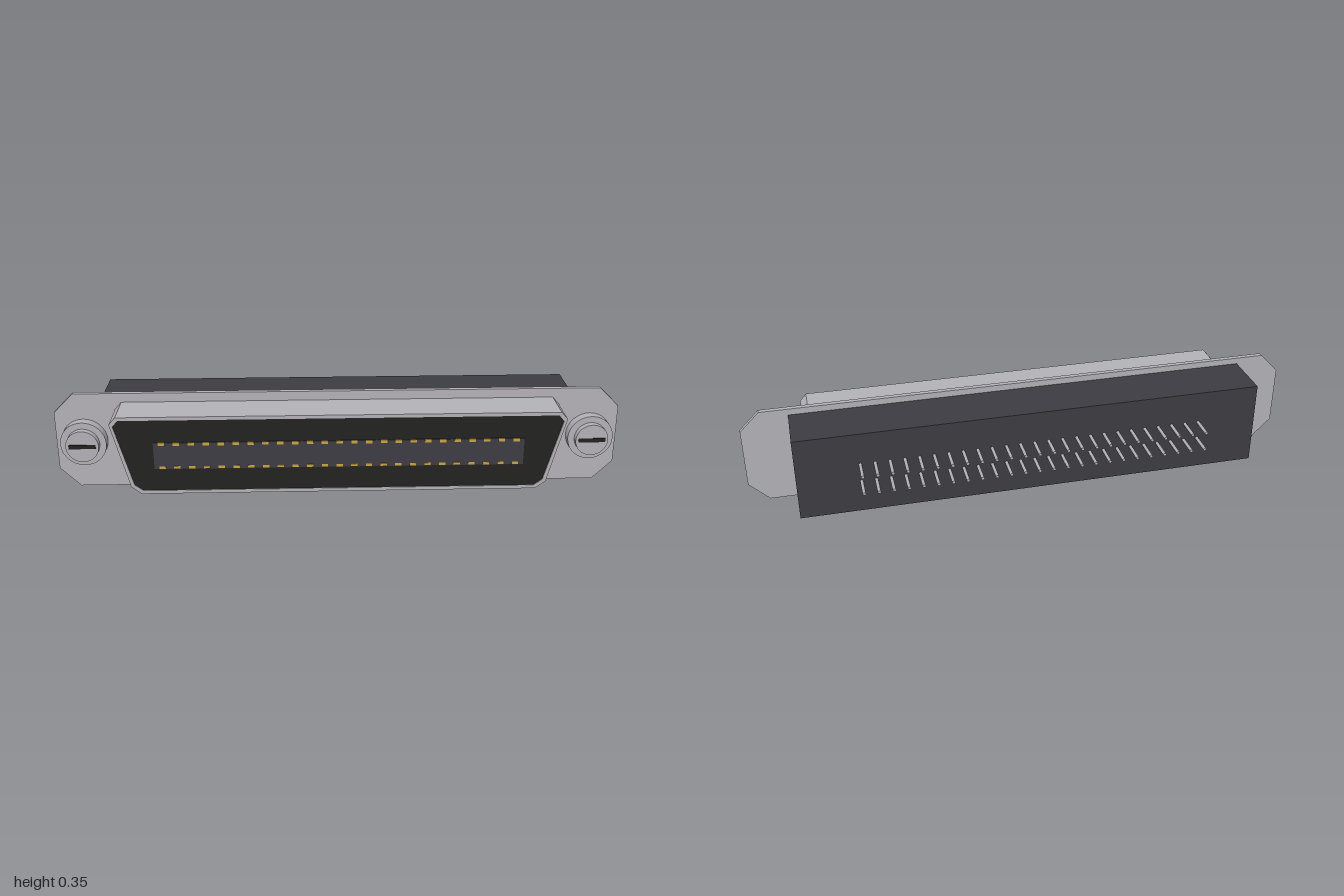
import * as THREE from 'three';

const CY = 0.177; // height of the connector axis

function material(name, color) {
  const m = new THREE.MeshStandardMaterial({ color });
  m.name = name;
  return m;
}

// Closed outline from the +x half, listed bottom to top and mirrored in x
function mirrored(half) {
  const pts = half.map(([x, y]) => new THREE.Vector2(x, y));
  return pts.concat(half.slice().reverse().map(([x, y]) => new THREE.Vector2(-x, y)));
}

// D-shaped outline with chamfered corners, shrunk by an inset
function dOutline(inset) {
  const i = inset, s = inset * 0.6;
  return mirrored([
    [0.69 - s, 0.033 + i], [0.725 - i, 0.06 + s],
    [0.785 - i, 0.295 - s], [0.762 - s, 0.321 - i],
  ]);
}

export function createModel() {
  const group = new THREE.Group();
  const metal = material('metal', 0xb4b2b7);
  const plastic = material('plastic', 0x3e3c43);
  const cavity = material('cavity black', 0x222221);
  const gold = material('gold', 0xc9a441);

  function add(name, geometry, mat, x = 0, y = 0, z = 0, parent = group) {
    const mesh = new THREE.Mesh(geometry, mat);
    mesh.name = name;
    mesh.position.set(x, y, z);
    parent.add(mesh);
    return mesh;
  }
  const extrude = (shape, depth) =>
    new THREE.ExtrudeGeometry(shape, { depth, bevelEnabled: false });

  // Rear housing
  add('housing', new THREE.BoxGeometry(1.664, 0.306, 0.188), plastic, 0, 0.178, -0.039);

  // Mounting flange with clipped corners
  const flange = new THREE.Shape(mirrored([[0.93, 0], [1, 0.07], [1, 0.284], [0.93, 0.354]]));
  add('flange', extrude(flange, 0.018), metal, 0, 0, 0.055);

  // Metal shell around the socket
  const shell = new THREE.Shape(dOutline(0));
  shell.holes.push(new THREE.Path(dOutline(0.012)));
  add('shell', extrude(shell, 0.143), metal, 0, 0, 0.073);
  add('insert', extrude(new THREE.Shape(dOutline(0.012)), 0.14), cavity, 0, 0, 0.073);

  // Contact tongue
  add('tongue', new THREE.BoxGeometry(1.28, 0.098, 0.08), plastic, 0, CY, 0.177);

  // Two rows of contacts in front and solder pins behind
  const contacts = new THREE.Group();
  contacts.name = 'contacts';
  const pins = new THREE.Group();
  pins.name = 'pins';
  group.add(contacts, pins);
  const contactGeo = new THREE.BoxGeometry(0.022, 0.011, 0.004);
  const pinGeo = new THREE.CylinderGeometry(0.006, 0.006, 0.09, 8).rotateX(Math.PI / 2);
  for (const side of [-1, 1]) {
    for (let i = 0; i < 25; i++) {
      const x = (i - 12) * 0.051;
      add('contact', contactGeo, gold, x, CY + side * 0.044, 0.2165, contacts);
      add('pin', pinGeo, metal, x, 0.178 + side * 0.0335, -0.171, pins);
    }
  }

  // Slotted screws on both ends
  const disc = (r, h) => new THREE.CylinderGeometry(r, r, h, 32).rotateX(Math.PI / 2);
  for (const side of [-1, 1]) {
    const screw = new THREE.Group();
    screw.name = side > 0 ? 'leftScrew' : 'rightScrew';
    screw.position.set(side * 0.9, 0.178, 0.073);
    add('washer', disc(0.081, 0.036), metal, 0, 0, 0.018, screw);
    add('head', disc(0.058, 0.024), metal, 0, 0, 0.048, screw);
    add('slot', new THREE.BoxGeometry(0.095, 0.015, 0.004), cavity, 0, 0, 0.06, screw);
    group.add(screw);
  }

  return group;
}
